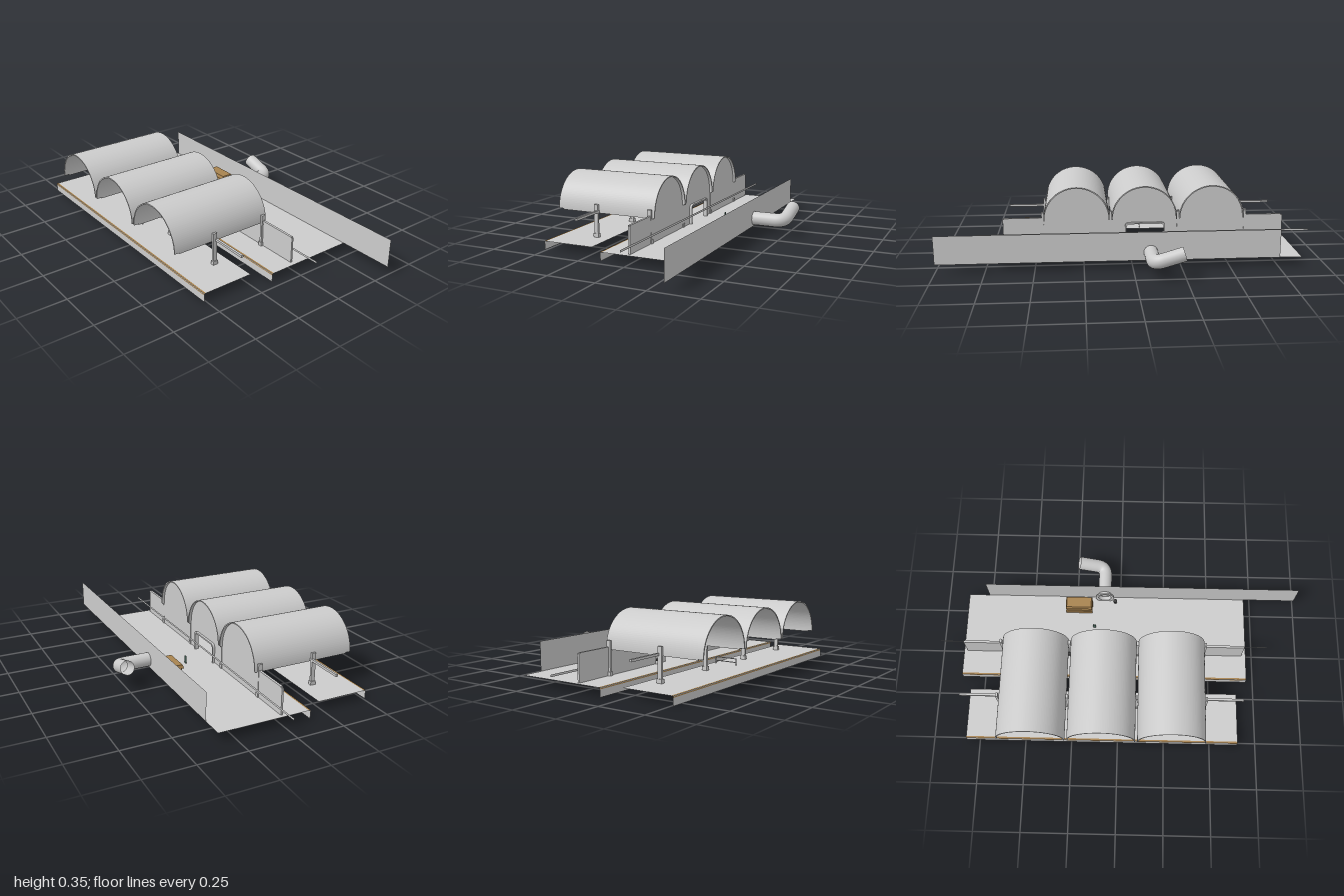
import * as THREE from 'three';

const grey = new THREE.MeshStandardMaterial({ color: 0xcccccc, side: THREE.DoubleSide });
const tint = (color) => new THREE.MeshStandardMaterial({ color, side: THREE.DoubleSide });
const brown = tint(0xa8834f), dark = tint(0x3c3c3c), green = tint(0x4f6f62);

export function createModel() {
  const model = new THREE.Group();
  const FLOOR = 0.045, SPRING = 0.175, R = 0.18;

  const add = (name, geometry, material = grey) => {
    const mesh = new THREE.Mesh(geometry, material);
    mesh.name = name;
    model.add(mesh);
    return mesh;
  };
  // Box given by its limits on each axis
  const box = (name, x0, x1, y0, y1, z0, z1, material) =>
    add(name, new THREE.BoxGeometry(x1 - x0, y1 - y0, z1 - z0), material)
      .position.set((x0 + x1) / 2, (y0 + y1) / 2, (z0 + z1) / 2);
  // Upright sheet facing the front
  const sheet = (name, x0, x1, y0, y1, z, material) =>
    add(name, new THREE.PlaneGeometry(x1 - x0, y1 - y0), material)
      .position.set((x0 + x1) / 2, (y0 + y1) / 2, z);
  // Level sheet facing up
  const deck = (name, x0, x1, z0, z1, y, material) =>
    add(name, new THREE.PlaneGeometry(x1 - x0, z1 - z0).rotateX(-Math.PI / 2), material)
      .position.set((x0 + x1) / 2, y, (z0 + z1) / 2);
  const extrude = (name, shape, depth, z, material) => {
    const mesh = add(name, new THREE.ExtrudeGeometry(shape, { depth, bevelEnabled: false, curveSegments: 32 }), material);
    mesh.position.z = z;
    return mesh;
  };

  // Two platforms, each with a front skirt and an edge stripe
  for (const [x0, x1, z0, z1] of [[-0.875, 0.71, -0.335, 0.15], [-0.82, 0.65, 0.235, 0.51]]) {
    deck('platformFloor', x0, x1, z0, z1, FLOOR);
    sheet('platformSkirt', x0, x1, 0, FLOOR, z1);
    deck('edgeStripe', x0, x1, z1 - 0.009, z1, FLOOR + 0.001, brown);
    sheet('edgeStripeFront', x0, x1, FLOOR - 0.008, FLOOR - 0.003, z1 + 0.001, brown);
  }

  // Long back wall and the narrow rail between it and the inner wall
  sheet('backWall', -0.76, 1, FLOOR, 0.195, -0.335);
  sheet('longRail', -1, 0.825, 0.093, 0.104, -0.025);

  // Rounded doorway outline, open at the bottom
  const doorway = (path, x0, x1, y0, y1, r) => {
    path.moveTo(x0, y0);
    path.lineTo(x0, y1 - r);
    path.quadraticCurveTo(x0, y1, x0 + r, y1);
    path.lineTo(x1 - r, y1);
    path.quadraticCurveTo(x1, y1, x1, y1 - r);
    path.lineTo(x1, y0);
    return path;
  };

  // Inner wall with the doorway cut out of its lower edge
  const wall = doorway(new THREE.Shape(), -0.195, 0.015, 0.042, 0.146, 0.02);
  wall.lineTo(0.685, 0.042);
  wall.lineTo(0.685, 0.18);
  wall.lineTo(-0.855, 0.18);
  wall.lineTo(-0.855, 0.042);
  extrude('innerWall', wall, 0.01, 0);

  // Door surround on the back of the wall
  const frame = doorway(new THREE.Shape(), -0.2, 0.02, FLOOR, 0.152, 0.022);
  frame.lineTo(0.012, FLOOR);
  frame.lineTo(0.012, 0.125);
  frame.quadraticCurveTo(0.012, 0.144, -0.007, 0.144);
  frame.lineTo(-0.173, 0.144);
  frame.quadraticCurveTo(-0.192, 0.144, -0.192, 0.125);
  frame.lineTo(-0.192, FLOOR);
  extrude('doorFrame', frame, 0.013, -0.014);

  // Cross beams
  box('wallBeam', -0.845, 0.68, 0.173, 0.185, 0, 0.012);
  box('frontBeam', -0.85, 0.67, 0.173, 0.185, 0.3, 0.312);

  // Three barrel vaults with closed back ends
  for (const x of [-0.457, -0.086, 0.285]) {
    const arch = new THREE.Shape();
    arch.absarc(0, SPRING, R, 0, Math.PI, false);
    arch.absarc(0, SPRING, R - 0.006, Math.PI, 0, true);
    extrude('vault', arch, 0.557, -0.015).position.x = x;
    const end = new THREE.Shape();
    end.absarc(0, SPRING, R - 0.004, 0, Math.PI, false);
    extrude('vaultEnd', end, 0.01, 0).position.x = x;
    for (const s of [-1, 1]) {
      const e = x + s * (R - 0.003);
      box('vaultEave', e - 0.003, e + 0.003, 0.17, SPRING, -0.012, 0.515);
    }
  }

  // Two rows of columns with wider feet
  for (const x of [-0.645, -0.272, 0.1, 0.47]) {
    for (const z of [0.009, 0.314]) {
      box('column', x - 0.006, x + 0.006, FLOOR, 0.215, z - 0.011, z + 0.011);
      box('columnFoot', x - 0.01, x + 0.01, 0.043, 0.065, z - 0.014, z + 0.014);
    }
  }

  // Low barrier on the front platform
  for (const y of [0.06, 0.079]) box('barrierRail', -0.082, -0.078, y - 0.002, y + 0.002, 0.25, 0.376);
  for (const z of [0.252, 0.374]) box('barrierPost', -0.082, -0.078, 0.035, 0.08, z - 0.002, z + 0.002);

  // Small fittings
  box('doorLamp', -0.125, -0.05, 0.172, 0.177, 0.012, 0.02, dark);
  sheet('signPlate', 0.106, 0.135, 0.136, 0.158, 0.013);
  box('columnValve', -0.29, -0.274, 0.063, 0.075, 0.02, 0.034, dark);
  box('floorMarker', -0.152, -0.136, 0.05, 0.09, -0.147, -0.143, green);
  const bin = add('bin', new THREE.CylinderGeometry(0.011, 0.008, 0.022, 12), dark);
  bin.position.set(-0.03, 0.058, -0.303);

  // Crate with a plinth and a tapered lid
  box('cratePlinth', -0.31, -0.16, 0.043, 0.069, -0.302, -0.234, brown);
  box('crateBody', -0.304, -0.166, 0.069, 0.106, -0.297, -0.24, brown);
  const lid = new THREE.BoxGeometry(0.15, 0.018, 0.072);
  const p = lid.attributes.position;
  for (let i = 0; i < p.count; i++) {
    if (p.getY(i) > 0) p.setXYZ(i, p.getX(i) * 0.92, p.getY(i), p.getZ(i) * 0.84);
  }
  lid.computeVertexNormals();
  add('crateLid', lid, brown).position.set(-0.235, 0.114, -0.268);

  // Pipe through the back wall: straight run, elbow, rising outlet
  const path = new THREE.CurvePath();
  const v = (x, y, z) => new THREE.Vector3(x, y, z);
  path.add(new THREE.LineCurve3(v(-0.09, 0.088, -0.315), v(-0.09, 0.088, -0.455)));
  path.add(new THREE.QuadraticBezierCurve3(v(-0.09, 0.088, -0.455), v(-0.09, 0.088, -0.507), v(-0.14, 0.103, -0.507)));
  path.add(new THREE.LineCurve3(v(-0.14, 0.103, -0.507), v(-0.24, 0.133, -0.508)));
  add('pipe', new THREE.TubeGeometry(path, 48, 0.0365, 24, false));
  const ring = new THREE.Shape();
  ring.absarc(-0.09, 0.084, 0.052, 0, Math.PI * 2, false);
  const bore = new THREE.Path();
  bore.absarc(-0.09, 0.088, 0.036, 0, Math.PI * 2, true);
  ring.holes.push(bore);
  extrude('pipeFlange', ring, 0.008, -0.321);

  return model;
}
